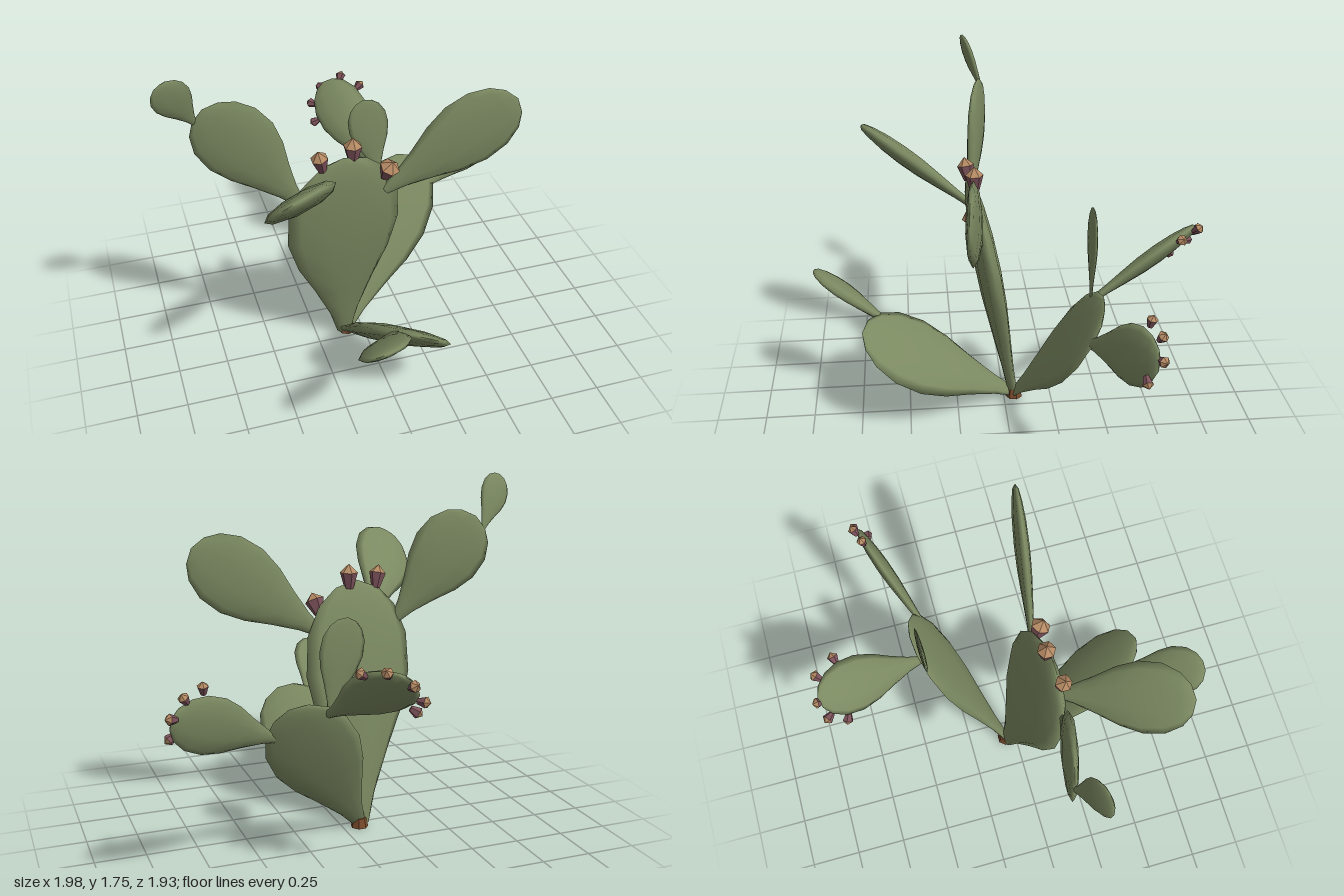
import * as THREE from 'three';

const V = (a) => new THREE.Vector3(...a);

// Lengthwise stations of a pad: [distance along, half width, half thickness]
const PROFILE = [
  [0, 0, 0], [0.005, 0.14, 0.4], [0.13, 0.27, 0.5], [0.3, 0.54, 0.75], [0.46, 0.83, 0.95],
  [0.62, 1, 1], [0.78, 0.96, 0.88], [0.9, 0.73, 0.65], [0.97, 0.41, 0.4], [1, 0, 0],
];
const SIDES = 10;

// Flattened teardrop from base to tip; "across" is the direction of its broad side
function padGeometry(base, tip, across, halfWidth, halfThick) {
  const a = V(base), axis = V(tip).sub(a);
  const d = axis.clone().normalize();
  const w = V(across);
  w.addScaledVector(d, -w.dot(d)).normalize();
  const n = d.clone().cross(w);
  const pos = [], index = [];
  PROFILE.forEach(([t, pw, pt], i) => {
    for (let j = 0; j < SIDES; j++) {
      const q = (j / SIDES) * Math.PI * 2;
      const p = a.clone().addScaledVector(axis, t)
        .addScaledVector(w, Math.cos(q) * pw * halfWidth)
        .addScaledVector(n, Math.sin(q) * pt * halfThick);
      pos.push(p.x, p.y, p.z);
      if (i === 0) continue;
      const k = (j + 1) % SIDES, lo = (i - 1) * SIDES, hi = i * SIDES;
      index.push(lo + j, lo + k, hi + j, lo + k, hi + k, hi + j);
    }
  });
  const g = new THREE.BufferGeometry();
  g.setAttribute('position', new THREE.Float32BufferAttribute(pos, 3));
  g.setIndex(index);
  g.computeVertexNormals();
  return g;
}

// name, base, tip, across, half width, half thickness
const PADS = [
  ['mainPad', [-0.1, 0.015, -0.05], [-0.15, 1.245, 0.16], [1, 0, -0.1], 0.29, 0.06],
  ['backPad', [-0.09, 0.02, -0.05], [0.41, 0.8, -0.43], [0.86, -0.46, 0.23], 0.22, 0.032],
  ['frontPad', [-0.1, 0.02, -0.05], [0.1, 0.55, 0.72], [0.87, -0.47, 0], 0.22, 0.045],
  ['frontTopPad', [-0.035, 0.52, 0.59], [-0.23, 0.745, 0.96], [0.85, 0.4, 0.25], 0.125, 0.035],
  ['rightPad', [-0.36, 1.03, 0.15], [-0.76, 1.55, 0.06], [0.78, 0.6, 0.19], 0.19, 0.035],
  ['rightTopPad', [-0.795, 1.48, 0.05], [-0.94, 1.745, 0.15], [0.85, 0.45, -0.1], 0.088, 0.02],
  ['rightFrontPad', [-0.24, 1.07, 0.15], [-0.54, 1.4, 0.69], [0.8, 0.5, 0.15], 0.168, 0.045],
  ['leftPad', [0.06, 1, 0.125], [0.68, 1.445, 0.21], [0.6, -0.8, 0.08], 0.187, 0.035],
  ['leftBackPad', [0.44, 0.64, -0.35], [0.965, 0.865, -0.56], [-0.35, 0.92, -0.1], 0.138, 0.035],
  ['backSmallPad', [0.2, 0.75, -0.4], [0.12, 1.195, -0.41], [1, 0.17, -0.03], 0.108, 0.014],
  ['backOuterPad', [0.215, 0.75, -0.41], [0.05, 1.04, -0.935], [0.8, 0.57, 0.07], 0.14, 0.042],
];

// centre, direction, radius, height
const FRUITS = [
  [[-0.265, 1.255, 0.17], [-0.2, 0.95, 0.15], 0.042, 0.12],
  [[-0.1, 1.27, 0.14], [0, 1, 0.02], 0.045, 0.125],
  [[0.07, 1.14, 0.16], [0.2, 0.85, 0.4], 0.05, 0.115],
  [[0.825, 0.98, -0.55], [0.1, 0.95, -0.2], 0.026, 0.062],
  [[0.912, 0.95, -0.578], [0.5, 0.8, -0.35], 0.026, 0.062],
  [[0.97, 0.865, -0.575], [0.9, 0.2, -0.35], 0.026, 0.062],
  [[0.965, 0.76, -0.515], [0.8, -0.55, -0.1], 0.026, 0.062],
  [[0.222, 1.05, -0.82], [0.75, 0.55, -0.25], 0.027, 0.062],
  [[0.145, 1.07, -0.918], [0.4, 0.65, -0.6], 0.027, 0.062],
  [[0.035, 1.01, -0.94], [-0.2, 0.4, -0.85], 0.027, 0.062],
  [[-0.025, 0.93, -0.915], [-0.6, 0, -0.7], 0.027, 0.062],
  [[-0.03, 0.86, -0.83], [-0.7, -0.5, -0.35], 0.027, 0.062],
];

export function createModel() {
  const green = new THREE.MeshStandardMaterial({ color: 0x7b8961 });
  green.name = 'pad green';
  const purple = new THREE.MeshStandardMaterial({ color: 0x7d525b, flatShading: true });
  purple.name = 'fruit purple';
  const tan = new THREE.MeshStandardMaterial({ color: 0xb58a64, flatShading: true });
  tan.name = 'fruit tan';
  const brown = new THREE.MeshStandardMaterial({ color: 0x7a4a2c, flatShading: true });
  brown.name = 'root brown';

  const model = new THREE.Group();
  model.name = 'cactus';
  const add = (parent, name, geometry, material) => {
    const mesh = new THREE.Mesh(geometry, material);
    mesh.name = name;
    parent.add(mesh);
    return mesh;
  };

  // Pads
  for (const [name, ...shape] of PADS) add(model, name, padGeometry(...shape), green);

  // Fruits: a flaring purple cup with a pointed tan cap
  const up = new THREE.Vector3(0, 1, 0);
  for (const [centre, dir, r, h] of FRUITS) {
    const fruit = new THREE.Group();
    fruit.name = 'fruit';
    add(fruit, 'fruitCup', new THREE.CylinderGeometry(r, r * 0.5, h * 0.65, 6), purple)
      .position.y = -h * 0.175;
    add(fruit, 'fruitCap', new THREE.ConeGeometry(r, h * 0.35, 6, 1, true), tan)
      .position.y = h * 0.325;
    fruit.position.set(...centre);
    fruit.quaternion.setFromUnitVectors(up, V(dir).normalize());
    model.add(fruit);
  }

  // Root stub where the lower pads meet
  add(model, 'root', new THREE.CylinderGeometry(0.035, 0.045, 0.05, 7), brown)
    .position.set(-0.085, 0.03, -0.055);

  return model;
}
